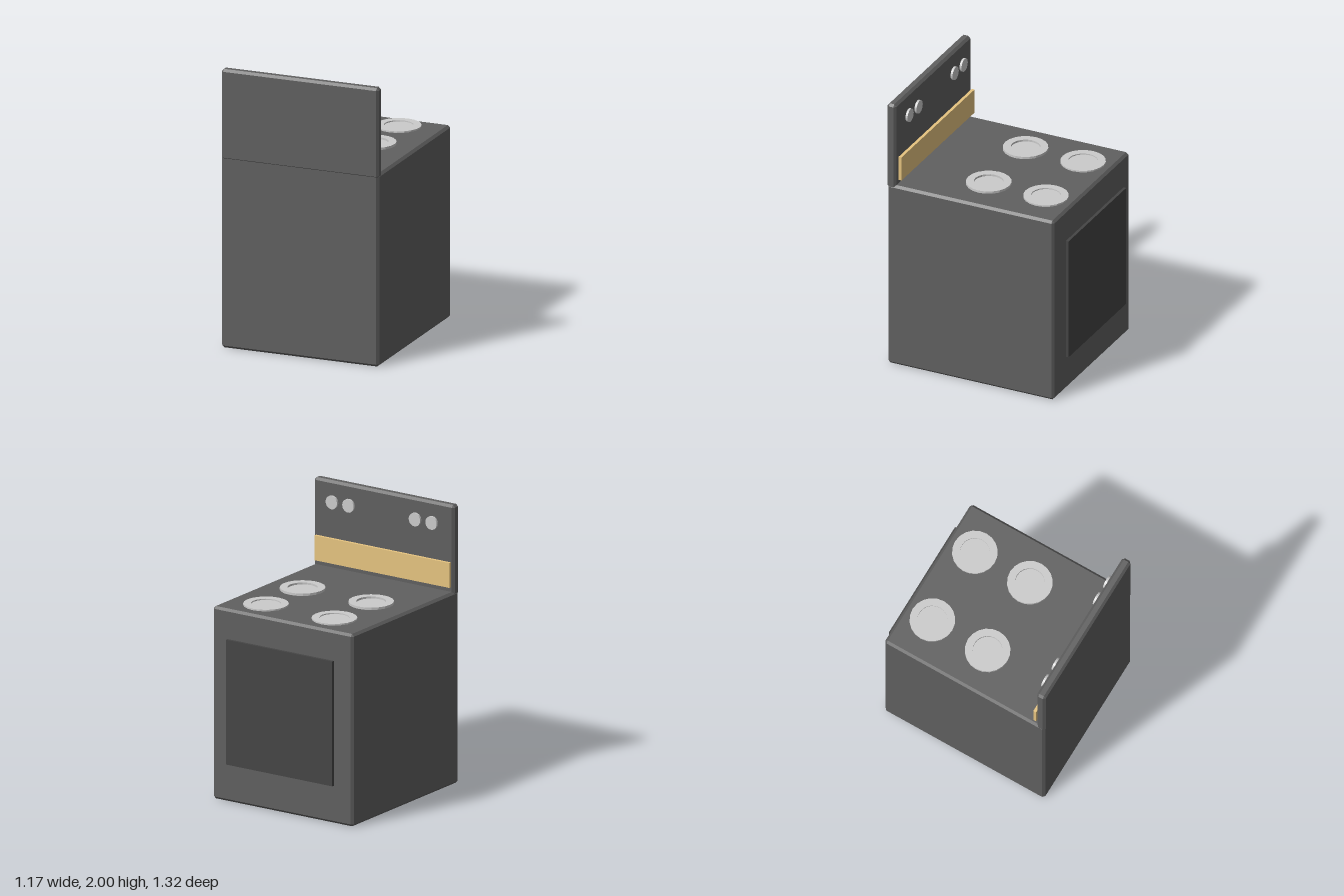
import * as THREE from 'three';
import { ConvexGeometry } from 'three/addons/geometries/ConvexGeometry.js';

const paint = (color) => new THREE.MeshStandardMaterial({ color });

// Box between two corners with every edge cut by a flat chamfer
function chamferedBox([x0, y0, z0], [x1, y1, z1], c) {
  const center = new THREE.Vector3(x0 + x1, y0 + y1, z0 + z1).multiplyScalar(0.5);
  const half = new THREE.Vector3(x1 - x0, y1 - y0, z1 - z0).multiplyScalar(0.5);
  const points = [];
  for (const sx of [-1, 1]) for (const sy of [-1, 1]) for (const sz of [-1, 1]) {
    for (let axis = 0; axis < 3; axis++) {
      const inset = new THREE.Vector3(c, c, c).setComponent(axis, 0);
      points.push(half.clone().sub(inset).multiply(new THREE.Vector3(sx, sy, sz)).add(center));
    }
  }
  return new ConvexGeometry(points);
}

// Plain box between two corners
function plainBox([x0, y0, z0], [x1, y1, z1]) {
  return new THREE.BoxGeometry(x1 - x0, y1 - y0, z1 - z0)
    .translate((x0 + x1) / 2, (y0 + y1) / 2, (z0 + z1) / 2);
}

export function createModel() {
  const model = new THREE.Group();
  const dark = paint(0x606060);
  const black = paint(0x454545);
  const tan = paint(0xe6c480);
  const metal = new THREE.MeshStandardMaterial({ color: 0xcccccc, flatShading: true });

  const add = (name, geometry, material) => {
    const mesh = new THREE.Mesh(geometry, material);
    mesh.name = name;
    model.add(mesh);
    return mesh;
  };

  // Cabinet, upright panel, oven door and control strip
  add('cabinet', chamferedBox([-0.587, 0, -0.617], [0.585, 1.38, 0.655], 0.017), dark);
  add('backPanel', chamferedBox([-0.587, 1.35, 0.592], [0.585, 2, 0.66], 0.017), dark);
  add('ovenDoor', plainBox([-0.447, 0.28, -0.662], [0.443, 1.175, -0.641]), black);
  add('panelStrip', plainBox([-0.572, 1.417, 0.56], [0.556, 1.595, 0.582]), tan);

  // Round burners with a shallow recessed centre
  const burners = [
    [-0.29, -0.41, 1.402], [0.283, -0.41, 1.402],
    [-0.29, 0.03, 1.408], [0.283, 0.028, 1.408],
  ];
  for (const [x, z, top] of burners) {
    const floor = 1.394;
    const profile = [[0, 1.391], [0.157, 1.391], [0.157, top], [0.103, top], [0.103, floor], [0, floor]]
      .map(([r, y]) => new THREE.Vector2(r, y));
    add('burner', new THREE.LatheGeometry(profile, 20), metal).position.set(x, 0, z);
  }

  // Control knobs in two pairs
  for (const x of [-0.419, -0.28, 0.276, 0.415]) {
    const knob = new THREE.CylinderGeometry(0.048, 0.048, 0.016, 20).rotateX(Math.PI / 2);
    add('knob', knob, metal).position.set(x, 1.855, 0.568);
  }

  return model;
}
